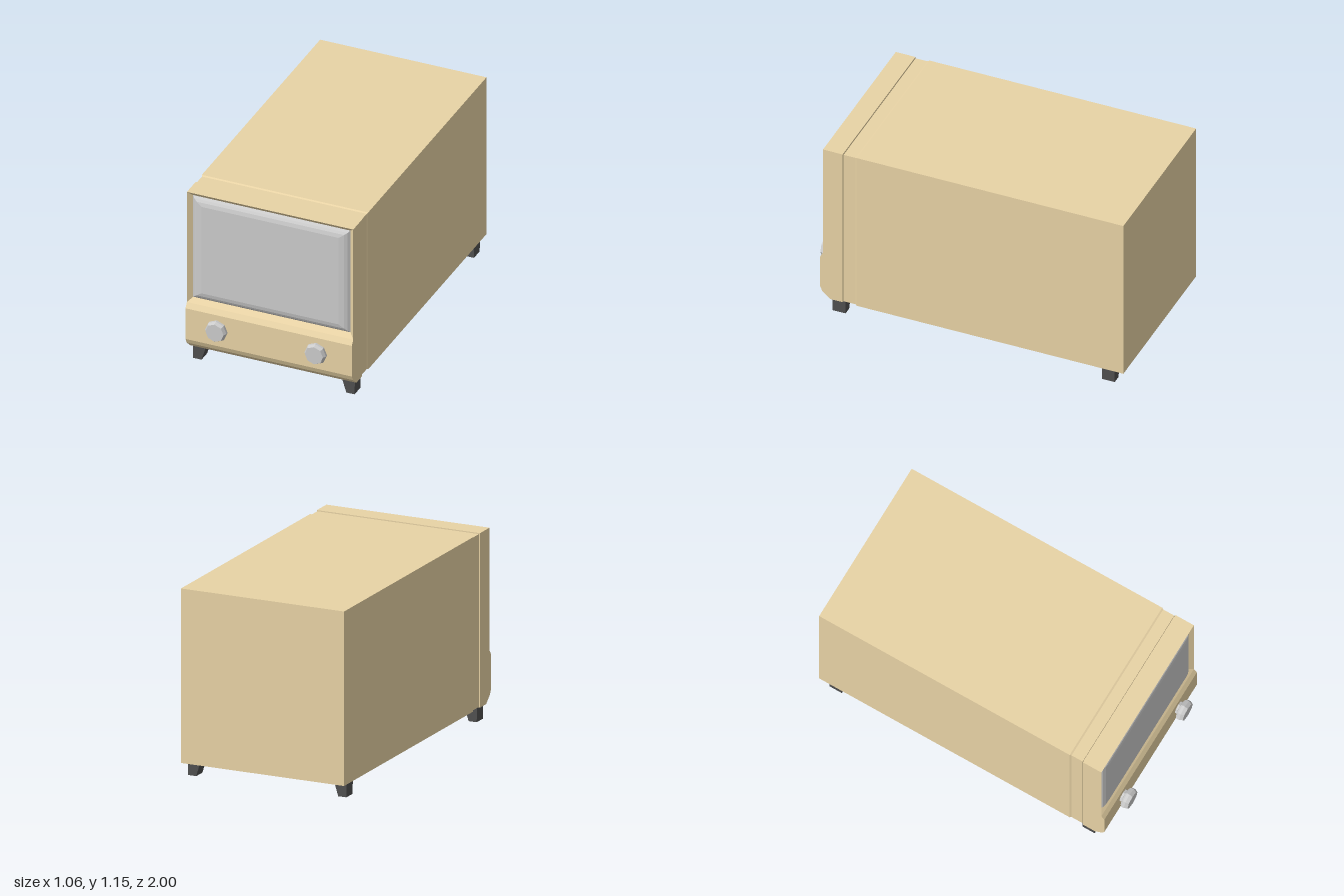
import * as THREE from 'three';

const HALF = 0.532, BOTTOM = 0.088, TOP = 1.152;

const mat = (color) => new THREE.MeshStandardMaterial({ color, flatShading: true });

function add(parent, name, geometry, material) {
  const mesh = new THREE.Mesh(geometry, material);
  mesh.name = name;
  parent.add(mesh);
  return mesh;
}

// Skin a row of upright rectangles [halfWidth, yLow, yHigh, z], with optional end caps
function loft(rects, capBack, capFront) {
  const rings = rects.map(([w, lo, hi, z]) => [[-w, lo, z], [w, lo, z], [w, hi, z], [-w, hi, z]]);
  const pos = [];
  const quad = (a, b, c, d) => pos.push(...a, ...b, ...c, ...a, ...c, ...d);
  for (let r = 0; r < rings.length - 1; r++) {
    for (let i = 0; i < 4; i++) {
      const j = (i + 1) % 4;
      quad(rings[r][i], rings[r][j], rings[r + 1][j], rings[r + 1][i]);
    }
  }
  if (capBack) quad(...[...rings[0]].reverse());
  if (capFront) quad(...rings[rings.length - 1]);
  const geometry = new THREE.BufferGeometry();
  geometry.setAttribute('position', new THREE.Float32BufferAttribute(pos, 3));
  geometry.computeVertexNormals();
  return geometry;
}

const shapeOf = (points) => new THREE.Shape(points.map(([x, y]) => new THREE.Vector2(x, y)));

export function createModel() {
  const model = new THREE.Group();
  model.name = 'television';
  const shell = mat(0xe8d3a5), grey = mat(0xcccccc), dark = mat(0x505050);

  // Cabinet, stepped in slightly behind the front bezel
  const inset = (d, z) => [HALF - d, BOTTOM + d, TOP - d, z];
  add(model, 'cabinet', loft([
    inset(0, -1), inset(0, 0.7), inset(0.005, 0.71), inset(0.005, 0.785),
    inset(0.012, 0.786), inset(0.012, 0.795),
  ], true, true), shell);

  // Front bezel with the protruding control panel, extruded across the width
  const bezel = new THREE.ExtrudeGeometry(shapeOf([
    [0.79, BOTTOM], [0.87, BOTTOM], [0.92, 0.133], [0.935, 0.165], [0.935, 0.373],
    [0.915, 0.405], [0.888, 0.405], [0.888, TOP], [0.79, TOP],
  ]), { depth: HALF * 2, bevelEnabled: false });
  bezel.rotateY(-Math.PI / 2).translate(HALF, 0, 0);
  add(model, 'bezel', bezel, shell);

  // Sloping frame around the screen
  add(model, 'screenFrame', loft([
    [HALF, 0.405, TOP, 0.888], [HALF, 0.405, TOP, 0.915], [0.503, 0.434, 1.124, 0.889],
  ]), shell);

  // Bulging screen
  add(model, 'screen', loft([
    [0.503, 0.434, 1.124, 0.889], [0.49, 0.447, 1.112, 0.902],
    [0.472, 0.463, 1.098, 0.911], [0.438, 0.487, 1.074, 0.917],
  ], false, true), grey);

  // Octagonal knobs on short stems
  const knob = new THREE.LatheGeometry([
    [0.04, 0.93], [0.04, 0.948], [0.058, 0.953], [0.068, 0.964], [0.068, 0.98], [0.058, 1], [0, 1],
  ].map(([r, y]) => new THREE.Vector2(r, y)), 8);
  knob.rotateX(Math.PI / 2);

  for (const side of [-1, 1]) {
    const label = side > 0 ? 'Left' : 'Right';
    add(model, 'knob' + label, knob, grey).position.set(side * 0.318, 0.29, 0);

    // Feet: upright outside, slanted inside
    const foot = new THREE.ExtrudeGeometry(shapeOf([
      [side * 0.435, 0.092], [side * 0.463, 0], [side * 0.516, 0], [side * 0.518, 0.092],
    ]), { depth: 0.082, bevelEnabled: false });
    add(model, 'frontFoot' + label, foot, dark).position.z = 0.778;
    add(model, 'backFoot' + label, foot, dark).position.z = -0.938;
  }
  return model;
}
